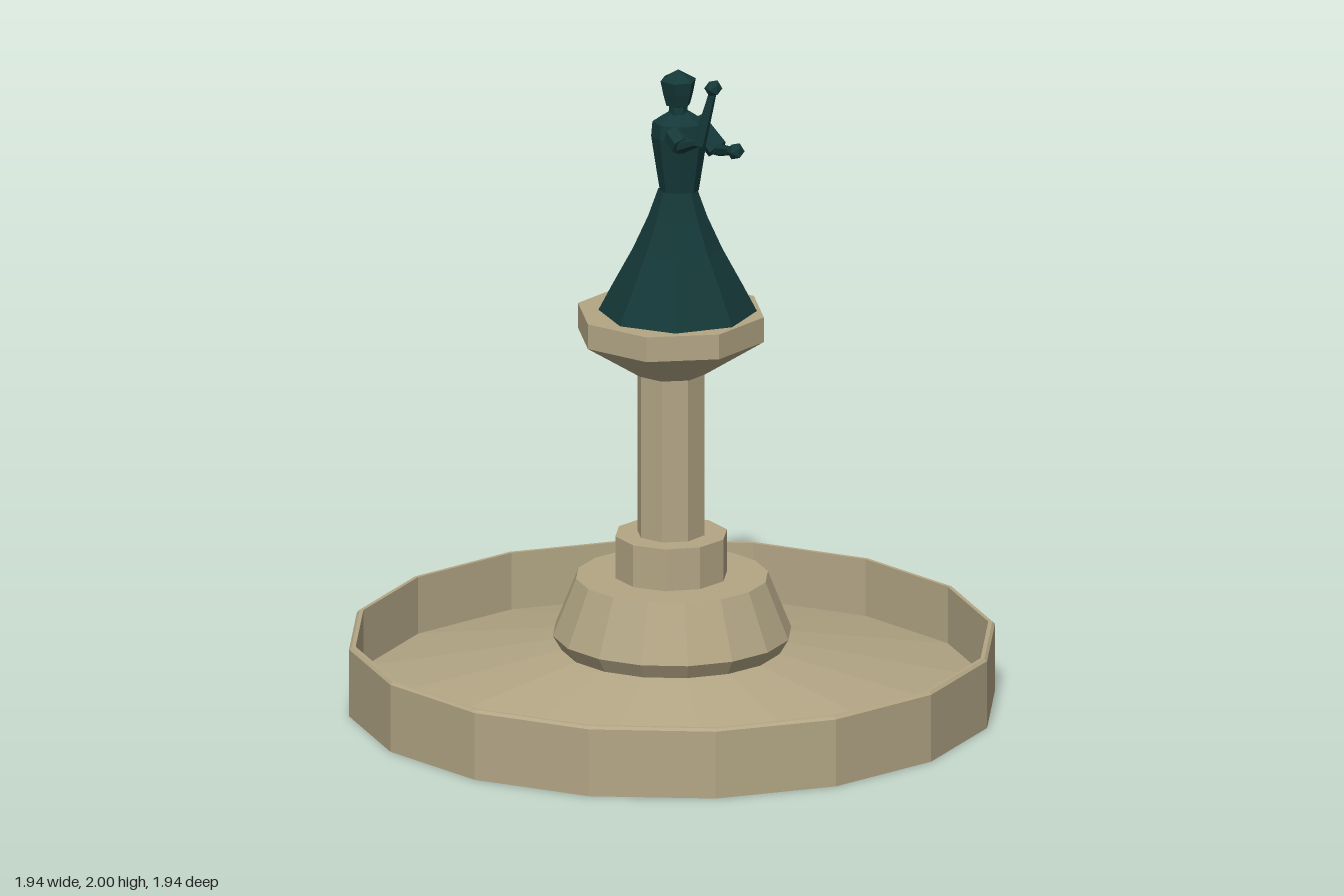
import * as THREE from 'three';

const stone = new THREE.MeshStandardMaterial({ color: 0xb3a685, flatShading: true, side: THREE.DoubleSide });
const bronze = new THREE.MeshStandardMaterial({ color: 0x153838, flatShading: true, side: THREE.DoubleSide });

// Faceted turned part from [radius, y] pairs, listed from the bottom up
function turned(name, profile, sides, material, x = 0, z = 0, turn = 0) {
  const points = profile.map(([r, y]) => new THREE.Vector2(r, y));
  const mesh = new THREE.Mesh(new THREE.LatheGeometry(points, sides), material);
  mesh.name = name;
  mesh.position.set(x, 0, z);
  mesh.rotation.y = turn;
  return mesh;
}

// Tapered limb between two points
function limb(name, a, b, ra, rb) {
  const from = new THREE.Vector3(...a), to = new THREE.Vector3(...b);
  const dir = to.clone().sub(from);
  const mesh = new THREE.Mesh(new THREE.CylinderGeometry(rb, ra, dir.length(), 6), bronze);
  mesh.name = name;
  mesh.position.copy(from).addScaledVector(dir, 0.5);
  mesh.quaternion.setFromUnitVectors(new THREE.Vector3(0, 1, 0), dir.normalize());
  return mesh;
}

function arm(name, shoulder, elbow, hand, sleeve) {
  const group = new THREE.Group();
  group.name = name;
  const fist = new THREE.Mesh(new THREE.IcosahedronGeometry(0.027, 0), bronze);
  fist.name = 'hand';
  fist.position.set(...hand);
  group.add(
    limb('sleeve', shoulder, elbow, 0.032, sleeve),
    limb('forearm', elbow, hand, 0.021, 0.012),
    fist
  );
  return group;
}

export function createModel() {
  const model = new THREE.Group();
  model.name = 'statueOnColumn';

  // Shallow basin with a thin rim and a floor rising to the middle
  model.add(turned('basin', [
    [0, 0], [0.97, 0], [0.97, 0.208], [0.962, 0.216], [0.95, 0.216],
    [0.95, 0.04], [0.33, 0.18], [0, 0.18],
  ], 16, stone));

  // Pedestal, column and capital
  model.add(
    turned('pedestal', [[0.33, 0.178], [0.358, 0.225], [0.288, 0.4], [0, 0.4]], 16, stone),
    turned('columnBase', [[0.17, 0.4], [0.17, 0.53], [0, 0.53]], 10, stone, 0, -0.005),
    turned('column', [[0.103, 0.53], [0.103, 1.04]], 8, stone, 0, -0.007),
    turned('capital', [[0, 1.03], [0.105, 1.03], [0.286, 1.145], [0.286, 1.222], [0, 1.222]],
      8, stone, 0.002, -0.01)
  );

  // Robed figure, turned a little to its right
  const figure = new THREE.Group();
  figure.name = 'figure';
  figure.add(turned('skirt', [
    [0, 1.226], [0.236, 1.226], [0.195, 1.305], [0.133, 1.42], [0.088, 1.52], [0.058, 1.605],
  ], 8, bronze, 0.012, 0.013, 0.23));

  const torso = turned('torso', [
    [0.058, 1.6], [0.072, 1.69], [0.084, 1.77], [0.08, 1.815], [0.032, 1.845], [0, 1.85],
  ], 8, bronze, 0.017, 0.014, -0.5);
  torso.scale.z = 0.85;
  figure.add(torso);

  figure.add(turned('neck', [[0.03, 1.82], [0.026, 1.88]], 6, bronze, 0.012, 0.016));
  figure.add(turned('head', [
    [0, 1.855], [0.037, 1.868], [0.047, 1.905], [0.055, 1.945], [0, 1.977],
  ], 6, bronze, 0.012, 0.016, 0.3));

  // Right arm raised, left arm held forward
  figure.add(
    arm('raisedArm', [-0.025, 1.79, 0.05], [-0.025, 1.765, 0.1], [-0.02, 1.8, 0.19], 0.032),
    arm('forwardArm', [0.085, 1.8, -0.01], [0.118, 1.725, 0.065], [0.088, 1.766, 0.225], 0.034)
  );
  const raised = figure.getObjectByName('raisedArm');
  raised.remove(raised.getObjectByName('hand'));
  raised.add(limb('raisedForearm', [-0.02, 1.795, 0.195], [0.013, 1.965, 0.222], 0.02, 0.011));
  const fist = new THREE.Mesh(new THREE.IcosahedronGeometry(0.027, 0), bronze);
  fist.name = 'hand';
  fist.position.set(0.013, 1.973, 0.222);
  raised.add(fist);

  model.add(figure);
  return model;
}
